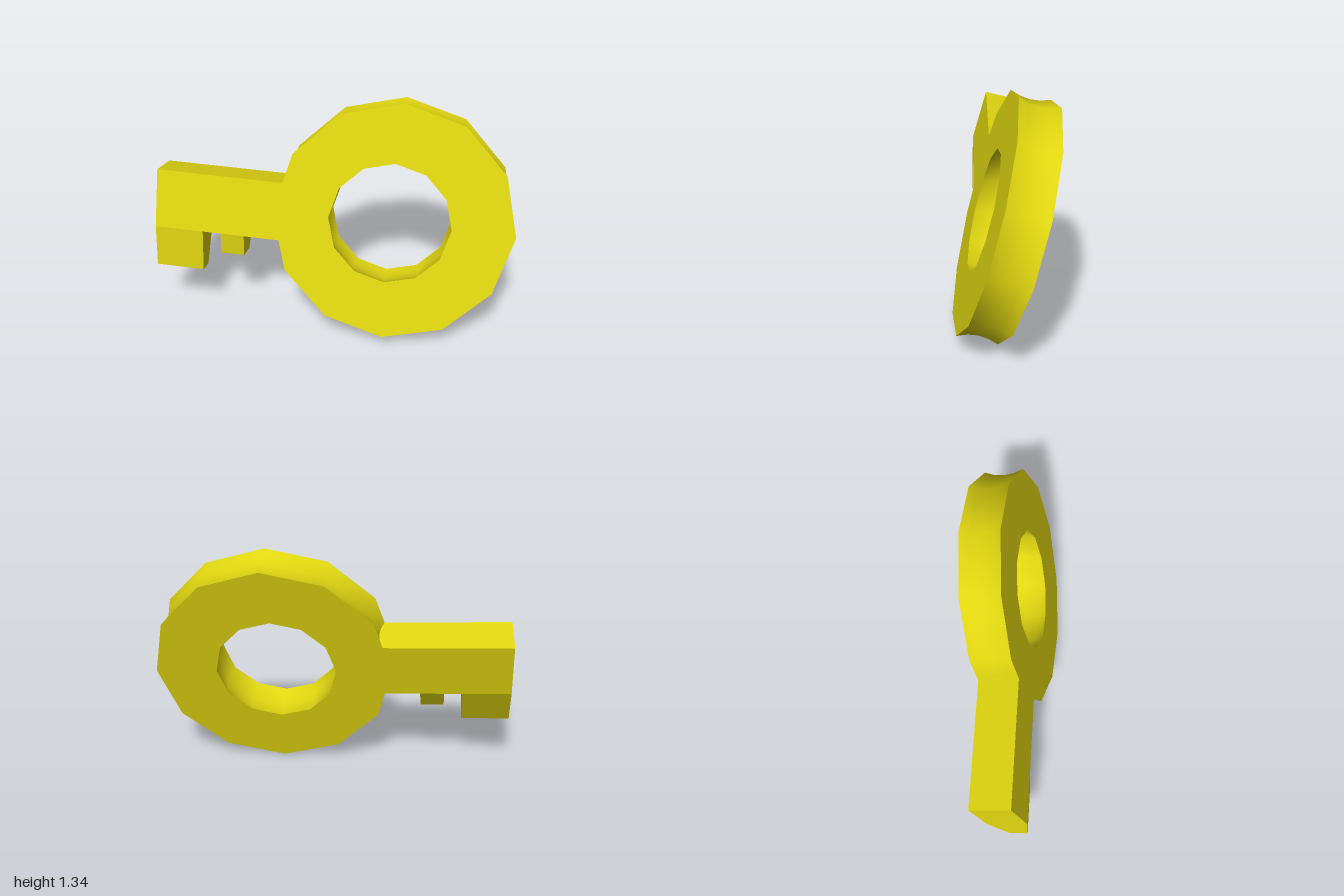
import * as THREE from 'three';

const SIDES = 12, OUTER = 0.665, INNER = 0.337, DEPTH = 0.225, DIP = 0.025;
const HOLE_X = -0.018;

// Points of a regular polygon
function ringPoints(radius, cx = 0) {
  return Array.from({ length: SIDES }, (_, i) => {
    const a = (i / SIDES) * Math.PI * 2;
    return new THREE.Vector2(cx + radius * Math.cos(a), radius * Math.sin(a));
  });
}

// Flat face of the bow with its round opening
function bowFace(holeX) {
  const shape = new THREE.Shape(ringPoints(OUTER));
  shape.holes.push(new THREE.Path(ringPoints(INNER, holeX).reverse()));
  return new THREE.ShapeGeometry(shape);
}

// Smooth, slightly hollowed wall; outward = 1 faces out, -1 faces the opening
function bowWall(radius, cx, outward) {
  const rows = 4, pos = [], index = [];
  for (let j = 0; j <= rows; j++) {
    const t = j / rows;
    const r = radius - outward * DIP * 4 * t * (1 - t);
    for (const p of ringPoints(r, cx)) pos.push(p.x, p.y, -DEPTH * t);
  }
  for (let j = 0; j < rows; j++) {
    for (let i = 0; i < SIDES; i++) {
      const k = (i + 1) % SIDES;
      const a = j * SIDES + i, b = j * SIDES + k;
      const c = a + SIDES, d = b + SIDES;
      if (outward > 0) index.push(a, c, b, b, c, d);
      else index.push(a, b, c, b, d, c);
    }
  }
  const g = new THREE.BufferGeometry();
  g.setAttribute('position', new THREE.Float32BufferAttribute(pos, 3));
  g.setIndex(index);
  g.computeVertexNormals();
  return g;
}

// Box between two corners, thinned front and back towards its bottom
function block(x0, x1, y0, y1, bottomScale = 1) {
  const g = new THREE.BoxGeometry(x1 - x0, y1 - y0, DEPTH);
  const p = g.attributes.position;
  for (let i = 0; i < p.count; i++) {
    if (p.getY(i) < 0) p.setZ(i, p.getZ(i) * bottomScale);
  }
  g.computeVertexNormals();
  g.translate((x0 + x1) / 2, (y0 + y1) / 2, -DEPTH / 2);
  return g;
}

export function createModel() {
  const model = new THREE.Group();
  model.name = 'key';
  const yellow = new THREE.MeshStandardMaterial({ color: 0xe0d610 });
  yellow.name = 'yellow';

  // Everything is built flat, then the whole key is tilted
  const key = new THREE.Group();
  key.name = 'tiltedKey';
  const add = (name, geometry) => {
    const mesh = new THREE.Mesh(geometry, yellow);
    mesh.name = name;
    key.add(mesh);
  };

  // Bow
  add('bowFront', bowFace(HOLE_X));
  add('bowBack', bowFace(-HOLE_X).rotateY(Math.PI).translate(0, 0, -DEPTH));
  add('bowOuterWall', bowWall(OUTER, 0, 1));
  add('bowInnerWall', bowWall(INNER, HOLE_X, -1));

  // Shaft and its two teeth
  add('shaft', block(-1.322, -0.58, -0.165, 0.165));
  add('endTooth', block(-1.322, -1.052, -0.41, -0.165, 0.46));
  add('smallTooth', block(-0.95, -0.818, -0.29, -0.165, 0.6));

  // Tilt
  const basis = new THREE.Matrix4().makeBasis(
    new THREE.Vector3(0.986, -0.045, -0.155).normalize(),
    new THREE.Vector3(0.001, 0.961, -0.274).normalize(),
    new THREE.Vector3(0.161, 0.271, 0.949).normalize()
  );
  key.quaternion.setFromRotationMatrix(basis);
  key.position.set(0.34, 0.703, 0.083);
  model.add(key);
  return model;
}
